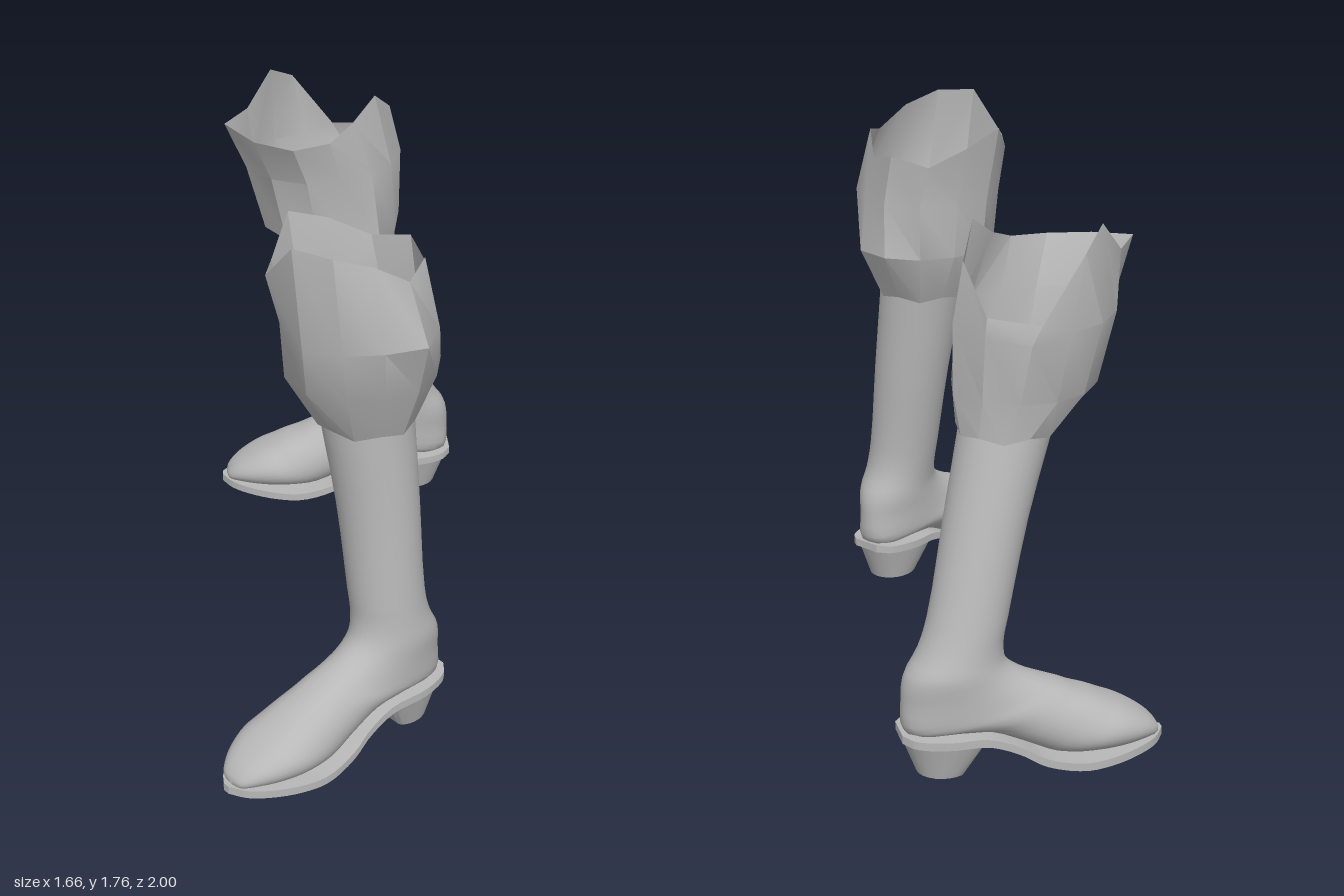
import * as THREE from 'three';
import { mergeVertices, toCreasedNormals } from 'three/addons/utils/BufferGeometryUtils.js';

const leather = new THREE.MeshStandardMaterial({ color: 0xb8b8b8, side: THREE.DoubleSide });
leather.name = 'grey leather';

// Skin a list of closed rings (arrays of Vector3), ordered from the top down
function loft(rings) {
  const n = rings[0].length, pos = [], idx = [];
  rings.forEach(r => r.forEach(p => pos.push(p.x, p.y, p.z)));
  for (let i = 0; i < rings.length - 1; i++) for (let j = 0; j < n; j++) {
    const a = i * n + j, b = i * n + (j + 1) % n;
    idx.push(a, b, a + n, b, b + n, a + n);
  }
  const g = new THREE.BufferGeometry();
  g.setAttribute('position', new THREE.Float32BufferAttribute(pos, 3));
  g.setIndex(idx);
  g.computeVertexNormals();
  return g;
}

// Add smooth in-between rings
function smoothRings(rings, steps) {
  const curves = rings[0].map((_, j) => new THREE.CatmullRomCurve3(rings.map(r => r[j])));
  return Array.from({ length: steps + 1 }, (_, i) => curves.map(c => c.getPoint(i / steps)));
}

// Shaft and foot sections: back/sole point (z, y), front/instep point (z, y), half width
const SECTIONS = [
  [0.19, 1.12, 0.49, 1.12, 0.148], [0.195, 0.8, 0.46, 0.8, 0.132],
  [0.2, 0.5, 0.455, 0.5, 0.118], [0.185, 0.4, 0.455, 0.42, 0.115],
  [0.15, 0.32, 0.475, 0.36, 0.115], [0.142, 0.24, 0.53, 0.315, 0.112],
  [0.15, 0.15, 0.6, 0.28, 0.112], [0.27, 0.14, 0.66, 0.255, 0.115],
  [0.4, 0.13, 0.71, 0.23, 0.116], [0.52, 0.08, 0.76, 0.21, 0.124],
  [0.62, 0.035, 0.81, 0.185, 0.134], [0.72, 0.025, 0.86, 0.16, 0.136],
  [0.82, 0.025, 0.91, 0.13, 0.116], [0.91, 0.03, 0.95, 0.1, 0.082],
  [0.965, 0.035, 0.975, 0.07, 0.045], [0.975, 0.04, 0.98, 0.05, 0.005],
];

// Sole stations: z, half width, top height
const SOLE = [
  [0.135, 0.05, 0.155], [0.17, 0.09, 0.15], [0.27, 0.118, 0.145], [0.4, 0.112, 0.135],
  [0.5, 0.116, 0.095], [0.58, 0.13, 0.05], [0.7, 0.149, 0.028], [0.8, 0.138, 0.03],
  [0.9, 0.1, 0.036], [0.96, 0.06, 0.041], [0.995, 0.012, 0.046],
];

function upperRings() {
  const n = 28;
  const rings = SECTIONS.map(([az, ay, bz, by, w], i) => {
    const e = i < 6 ? 1 : 0.78;
    return Array.from({ length: n }, (_, j) => {
      const t = j / n * Math.PI * 2, c = Math.cos(t), s = (Math.sin(t) + 1) / 2;
      return new THREE.Vector3(w * Math.sign(c) * Math.abs(c) ** e, ay + (by - ay) * s, az + (bz - az) * s);
    });
  });
  return smoothRings(rings, 45);
}

function soleGeometry() {
  const curve = new THREE.CatmullRomCurve3(SOLE.map(s => new THREE.Vector3(s[1], s[2], s[0])));
  const g = new THREE.BoxGeometry(1, 1, 1, 1, 1, 36), p = g.attributes.position;
  for (let i = 0; i < p.count; i++) {
    const s = curve.getPoint(p.getZ(i) + 0.5);
    p.setXYZ(i, p.getX(i) * 2 * s.x, p.getY(i) > 0 ? s.y : Math.max(0, s.y - 0.027), s.z);
  }
  g.computeVertexNormals();
  return g;
}

// Tapered heel block with a rounded back and flat front
function heelGeometry() {
  const d = new THREE.CylinderGeometry(1, 0.66, 0.13, 24), p = d.attributes.position;
  for (let i = 0; i < p.count; i++) {
    const top = p.getY(i) > 0, k = top ? 1 : 0.66;
    const z = Math.min(p.getZ(i), 0.6 * k) / k;
    p.setXYZ(i, p.getX(i) * 0.118, p.getY(i) + 0.065,
      top ? 0.306 + z * 0.166 : 0.277 + z * 0.088);
  }
  d.deleteAttribute('normal');
  d.deleteAttribute('uv');
  return toCreasedNormals(mergeVertices(d), 0.6);
}

// Crumpled cuff; each column holds knee radius, thigh radius, rim radius, rim height
function cuffGeometry({ shaft, knee, thigh, rim, columns }) {
  const point = ([x, y, z], r, j) => {
    const t = j / columns.length * Math.PI * 2;
    return new THREE.Vector3(x + r * Math.cos(t), y, z + r * Math.sin(t));
  };
  const rings = [
    columns.map((c, j) => point([rim[0], c[3], rim[1]], c[2], j)),
    columns.map((c, j) => point([thigh[0], Math.min(thigh[1], c[3] - 0.06), thigh[2]], c[1], j)),
    columns.map((c, j) => point(knee, c[0], j)),
    columns.map((c, j) => point([shaft[0], shaft[1] + (j % 2) * 0.015, shaft[2]], 0.156, j)),
  ];
  return toCreasedNormals(loft(rings), 0.5);
}

function makeBoot(name, { place, yaw, lean, cuff }) {
  const boot = new THREE.Group();
  boot.name = name;
  const add = (part, geometry) => {
    const m = new THREE.Mesh(geometry, leather);
    m.name = part;
    boot.add(m);
  };
  // Turn the foot about the ankle, then lean the shaft above it
  const turn = new THREE.Matrix4().makeTranslation(place[0], 0, place[1])
    .multiply(new THREE.Matrix4().makeRotationY(yaw))
    .multiply(new THREE.Matrix4().makeTranslation(0, 0, -0.3));
  const rings = upperRings();
  rings.flat().forEach(p => {
    const h = Math.max(0, p.y - 0.35);
    p.applyMatrix4(turn);
    p.x += lean[0] * h;
    p.z += lean[1] * h;
  });
  add('shaftAndFoot', loft(rings));
  add('sole', soleGeometry().applyMatrix4(turn));
  add('heel', heelGeometry().applyMatrix4(turn));
  add('cuff', cuffGeometry(cuff));
  return boot;
}

export function createModel() {
  const model = new THREE.Group();
  model.name = 'pairOfBoots';
  model.add(makeBoot('leftBoot', {
    place: [0.65, 0.3], yaw: -0.12, lean: [-0.13, 0],
    cuff: {
      shaft: [0.545, 1.09, 0.34], knee: [0.54, 1.27, 0.35], thigh: [0.56, 1.45, 0.38], rim: [0.52, 0.38],
      columns: [
        [0.23, 0.27, 0.23, 1.64], [0.22, 0.24, 0.22, 1.71], [0.23, 0.25, 0.25, 1.75],
        [0.25, 0.26, 0.26, 1.76], [0.25, 0.25, 0.27, 1.62], [0.24, 0.26, 0.25, 1.61],
        [0.24, 0.26, 0.27, 1.71], [0.23, 0.26, 0.26, 1.66], [0.24, 0.26, 0.26, 1.6],
        [0.25, 0.25, 0.26, 1.63], [0.25, 0.23, 0.23, 1.6], [0.23, 0.24, 0.22, 1.67],
      ],
    },
  }));
  model.add(makeBoot('rightBoot', {
    place: [-0.345, -0.85], yaw: -0.74, lean: [-0.01, 0.34],
    cuff: {
      shaft: [-0.38, 1.06, -0.58], knee: [-0.39, 1.19, -0.5], thigh: [-0.42, 1.42, -0.48], rim: [-0.42, -0.42],
      columns: [
        [0.22, 0.23, 0.19, 1.62], [0.21, 0.22, 0.22, 1.58], [0.22, 0.24, 0.26, 1.57],
        [0.24, 0.26, 0.28, 1.58], [0.25, 0.28, 0.31, 1.6], [0.23, 0.25, 0.23, 1.6],
        [0.22, 0.24, 0.2, 1.71], [0.22, 0.24, 0.25, 1.65], [0.22, 0.26, 0.3, 1.45],
        [0.23, 0.28, 0.33, 1.47], [0.24, 0.28, 0.28, 1.6], [0.22, 0.24, 0.22, 1.69],
      ],
    },
  }));
  return model;
}
